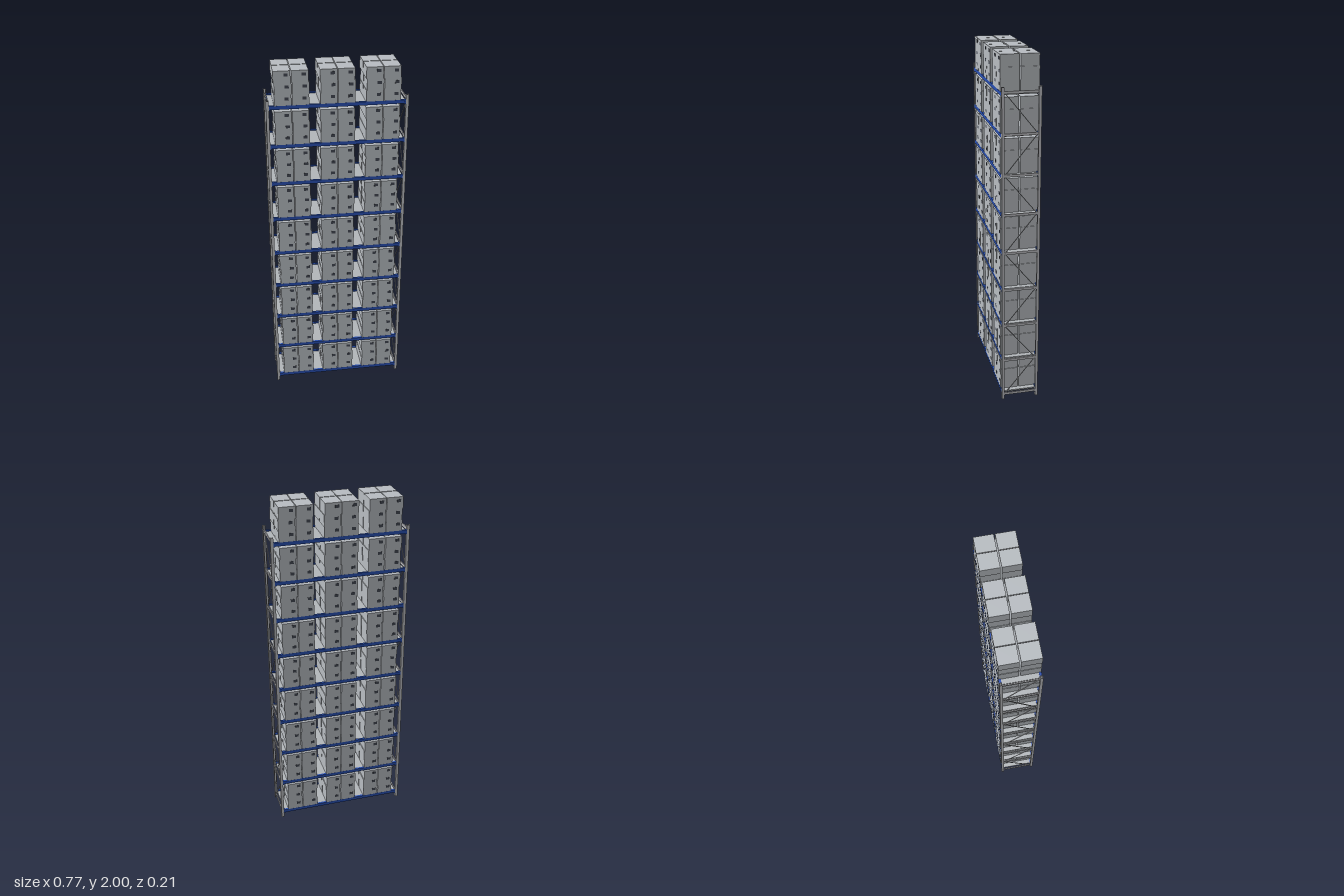
import * as THREE from 'three';

const LEVELS = 9, BASE_Y = 0.042, PITCH = 0.22;
const POST_X = 0.375, POST_Z = 0.099;

function material(name, color) {
  const m = new THREE.MeshStandardMaterial({ color });
  m.name = name;
  return m;
}

export function createModel() {
  const model = new THREE.Group();
  model.name = 'storageRack';

  const steel = material('galvanised steel', 0xbdbec2);
  const blue = material('beam blue', 0x2850b4);
  const shelfGrey = material('shelf grey', 0xb4b8bc);
  const carton = material('carton grey', 0xb9bec3);
  const dark = material('handle dark', 0x434853);

  const add = (parent, name, geo, mat, x, y, z) => {
    const mesh = new THREE.Mesh(geo, mat);
    mesh.name = name;
    mesh.position.set(x, y, z);
    parent.add(mesh);
    return mesh;
  };

  // Upright: a lipped channel, closed towards the aisle and open inwards
  const w = 0.008, d = 0.0075, t = 0.002, lip = 0.005;
  const section = new THREE.Shape([
    [-w, -d], [w, -d], [w, d], [w - lip, d], [w - lip, d - t], [w - t, d - t],
    [w - t, -d + t], [-w + t, -d + t], [-w + t, d - t], [-w + lip, d - t], [-w + lip, d], [-w, d],
  ].map(([x, y]) => new THREE.Vector2(x, y)));
  const postGeo = new THREE.ExtrudeGeometry(section, { depth: 1.84, bevelEnabled: false });
  postGeo.rotateX(-Math.PI / 2);

  // Side frames: uprights, horizontal struts and zigzag braces
  const strutGeo = new THREE.BoxGeometry(0.006, 0.014, 2 * POST_Z - 0.01);
  const strutY = (k) => 0.032 + 0.2225 * k;
  for (const side of [-1, 1]) {
    const frame = new THREE.Group();
    frame.name = side > 0 ? 'leftFrame' : 'rightFrame';
    model.add(frame);
    for (const face of [-1, 1]) {
      const post = add(frame, 'post', postGeo, steel, side * POST_X, 0, face * POST_Z);
      if (face < 0) post.rotation.y = Math.PI;
    }
    for (let k = 0; k < LEVELS; k++) {
      add(frame, 'strut', strutGeo, steel, side * POST_X, strutY(k), 0);
      if (k === LEVELS - 1) continue;
      const dir = k % 2 ? 1 : -1;
      const rise = strutY(k + 1) - strutY(k), run = 0.18 * dir;
      const brace = add(frame, 'brace', new THREE.BoxGeometry(0.004, Math.hypot(rise, run), 0.004),
        steel, side * POST_X, strutY(k) + rise / 2, 0);
      brace.rotation.x = Math.atan2(run, rise);
    }
  }

  // Shared level geometry
  const beamGeo = new THREE.BoxGeometry(0.736, 0.02, 0.013);
  const hookGeo = new THREE.BoxGeometry(0.007, 0.025, 0.0145);
  const PANELS = 4, panelW = 0.734 / PANELS;
  const panelGeo = new THREE.BoxGeometry(panelW - 0.001, 0.008, 0.186);
  const boxW = 0.091, boxH = 0.0645, boxD = 0.102;
  const boxGeo = new THREE.BoxGeometry(boxW, boxH, boxD);
  const handleGeo = new THREE.BoxGeometry(0.022, 0.016, 0.002);
  const groupX = [-0.248, -0.003, 0.243];
  const layerShift = [0.002, 0.004, 0];

  for (let i = 0; i < LEVELS; i++) {
    const level = new THREE.Group();
    level.name = 'shelfLevel';
    level.position.y = BASE_Y + PITCH * i;
    model.add(level);

    // Beams with end hooks
    for (const face of [-1, 1]) {
      add(level, 'beam', beamGeo, blue, 0, 0, face * 0.0995);
      for (const side of [-1, 1]) {
        add(level, 'beamHook', hookGeo, blue, side * 0.3635, -0.001, face * 0.0995);
      }
    }

    // Shelf panels resting between the beams
    for (let p = 0; p < PANELS; p++) {
      add(level, 'shelfPanel', panelGeo, shelfGrey, (p - (PANELS - 1) / 2) * panelW, 0.0005, 0);
    }

    // Cartons: three stacks, two wide, two deep and three high
    for (const gx of groupX) {
      for (const column of [-1, 1]) {
        for (const face of [-1, 1]) {
          for (let layer = 0; layer < 3; layer++) {
            const unit = new THREE.Group();
            unit.name = 'carton';
            unit.position.set(gx + column * 0.0473 + layerShift[layer],
              0.0045 + boxH * (layer + 0.5), face * 0.0545);
            if (face < 0) unit.rotation.y = Math.PI;
            level.add(unit);
            add(unit, 'cartonBody', boxGeo, carton, 0, 0, 0);
            add(unit, 'cartonHandle', handleGeo, dark, 0.021, 0.011, boxD / 2);
          }
        }
      }
    }
  }
  return model;
}
